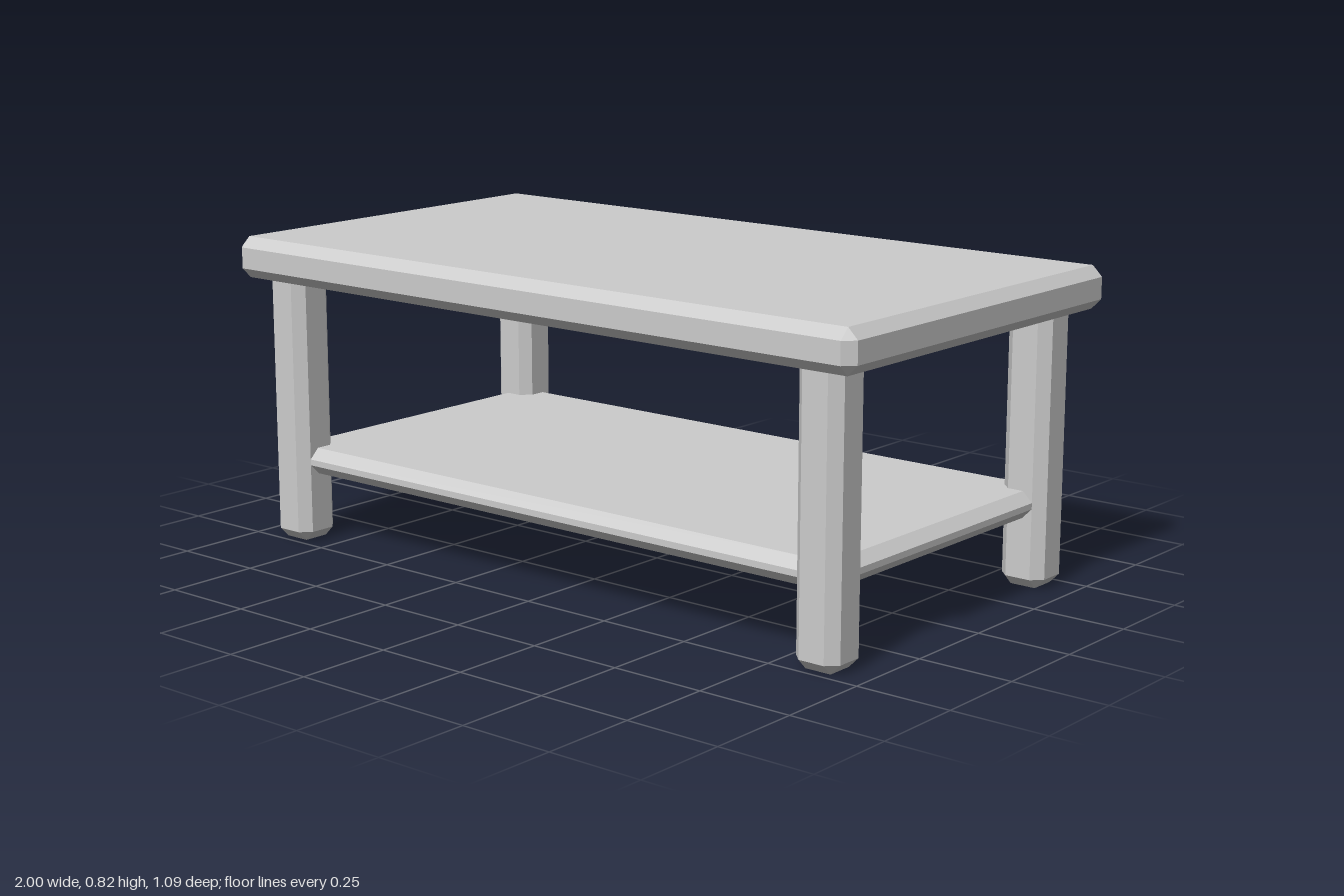
import * as THREE from 'three';
import { ConvexGeometry } from 'three/addons/geometries/ConvexGeometry.js';

const BEVEL = 0.027;

// Box with every edge chamfered: each corner becomes three points
function chamferedBox(w, h, d, b = BEVEL) {
  const points = [];
  for (const sx of [-1, 1]) for (const sy of [-1, 1]) for (const sz of [-1, 1]) {
    const x = w / 2, y = h / 2, z = d / 2;
    points.push(
      new THREE.Vector3(sx * x, sy * (y - b), sz * (z - b)),
      new THREE.Vector3(sx * (x - b), sy * y, sz * (z - b)),
      new THREE.Vector3(sx * (x - b), sy * (y - b), sz * z)
    );
  }
  return new ConvexGeometry(points);
}

export function createModel() {
  const table = new THREE.Group();
  table.name = 'coffeeTable';
  const material = new THREE.MeshStandardMaterial({ color: 0xcccccc, flatShading: true });

  function addPart(name, geometry, x, y, z) {
    const mesh = new THREE.Mesh(geometry, material);
    mesh.name = name;
    mesh.position.set(x, y, z);
    table.add(mesh);
  }

  // Thick slab on top
  addPart('tableTop', chamferedBox(2, 0.11, 1.09), 0, 0.765, 0);

  // Lower shelf, let into the legs
  addPart('shelf', chamferedBox(1.816, 0.07, 0.946), 0, 0.22, 0);

  // Four square legs, running up into the slab
  const leg = chamferedBox(0.125, 0.765, 0.125);
  for (const [side, sx] of [['Left', 1], ['Right', -1]]) {
    for (const [end, sz] of [['front', 1], ['back', -1]]) {
      addPart(`${end}${side}Leg`, leg, sx * 0.8725, 0.3825, sz * 0.4375);
    }
  }

  return table;
}
